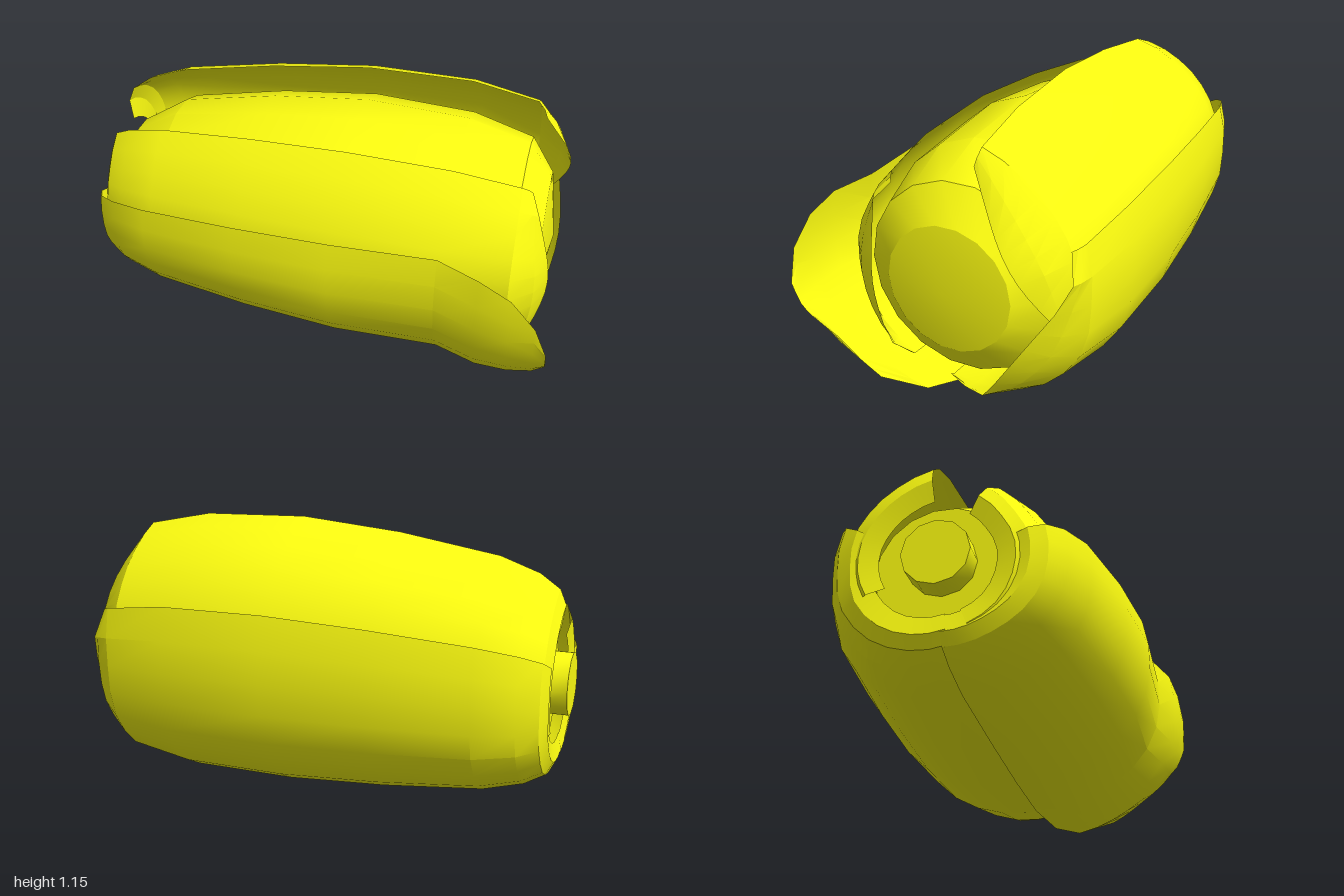
import * as THREE from 'three';
import { toCreasedNormals } from 'three/addons/utils/BufferGeometryUtils.js';

const { degToRad, lerp, clamp } = THREE.MathUtils;

// Long axis of the bud: parallel to x, drooping slightly down and back towards the stem
const axisY = (x) => 0.53 + 0.025 * Math.min(x, 0);
const axisZ = (x) => -0.04 + 0.03 * Math.min(x, 0);

// Leaf outline along its length: [x, radius scale, angular width]
const BODY = [[-0.95, 0.42, 1], [-0.965, 0.56, 1], [-0.94, 0.66, 1], [-0.86, 0.75, 1],
  [-0.7, 0.84, 1], [-0.29, 0.94, 1], [0.12, 1, 1], [0.55, 0.99, 1]];
const CLOSED_TIP = [[0.82, 0.905, 0.98]];
const FLARED_TIP = [[0.72, 1.08, 0.91], [0.85, 1.1, 0.78], [0.95, 1.1, 0.54], [1, 1.09, 0.24]];

// Linear lookup in a list, t from 0 to 1
function sample(list, t) {
  const f = t * (list.length - 1), i = Math.min(Math.floor(f), list.length - 2);
  return lerp(list[i], list[i + 1], f - i);
}

// A leaf is a curved sheet around the axis; radii run from its start angle to its end angle.
// A chord makes a closed tip, otherwise the tip flares. baseWidth widens or narrows the stem end.
function leafGeometry({ from, to, radii, baseWidth, chord, tipX, tipMid }) {
  const N = 10, mid = (from + to) / 2;
  const stations = BODY.concat(chord ? CLOSED_TIP : FLARED_TIP);
  const rows = stations.map(([x, s, w]) => {
    const centre = chord ? mid : lerp(tipMid, mid, w);
    const span = (to - from) * w * lerp(1, baseWidth, clamp((0.5 - x) / 1.4, 0, 1));
    return Array.from({ length: N + 1 }, (_, j) => {
      const t = j / N;
      return [x, sample(radii, t) * s, degToRad(centre + (t - 0.5) * span)];
    });
  });
  // Closed tips curl inwards until their end is cut off along a straight chord
  if (chord) {
    const last = rows[rows.length - 1];
    for (const k of [0.48, 1]) {
      rows.push(last.map(([x, r, a], j) => {
        const v = 2 * j / N - 1;
        const end = Math.min(r * 0.93, chord / Math.max(0.3, Math.cos(a - degToRad(mid))));
        const reach = 0.04 + (tipX - x - 0.04) * (1 - v * v);
        return [x + reach * (k < 1 ? 0.66 : 1), r + (end - r) * k, a];
      }));
    }
  }
  const pos = [], index = [];
  rows.forEach((row, i) => row.forEach(([x, r, a], j) => {
    pos.push(x, axisY(x) + r * Math.sin(a), axisZ(x) + r * Math.cos(a));
    if (i && j) {
      const d = i * (N + 1) + j, c = d - 1, b = d - N - 1, e = b - 1;
      index.push(e, c, d, e, d, b);
    }
  }));
  const geo = new THREE.BufferGeometry();
  geo.setAttribute('position', new THREE.Float32BufferAttribute(pos, 3));
  geo.setIndex(index);
  return toCreasedNormals(geo, 0.36);
}

// Solid of revolution along x
function turned(profile, segments) {
  const geo = new THREE.LatheGeometry(profile.map(([x, r]) => new THREE.Vector2(r, x)), segments);
  geo.rotateZ(-Math.PI / 2);
  return geo;
}

export function createModel() {
  const group = new THREE.Group();
  const material = new THREE.MeshStandardMaterial({ color: 0xffff10, side: THREE.DoubleSide });
  const add = (name, geo) => {
    const mesh = new THREE.Mesh(geo, material);
    mesh.name = name;
    group.add(mesh);
  };

  // Inner bud with a domed end, following the drooping axis
  const core = turned([[-0.9, 0], [-0.9, 0.26], [-0.7, 0.38], [-0.29, 0.45],
    [0.12, 0.487], [0.55, 0.465], [0.81, 0.395], [0.91, 0.26], [0.95, 0]], 18);
  const p = core.attributes.position;
  for (let i = 0; i < p.count; i++) {
    const x = p.getX(i);
    p.setXYZ(i, x, p.getY(i) + axisY(x), p.getZ(i) + axisZ(x));
  }
  add('core', toCreasedNormals(core, 0.4));

  // Short cut stem
  const stem = turned([[-1, 0], [-1, 0.13], [-0.89, 0.13]], 12);
  stem.translate(0, 0.53, -0.07);
  add('stem', toCreasedNormals(stem, 0.6));

  // Wrapping leaves; angles go from the front (+z) over the top
  add('innerFrontLeaf', leafGeometry({
    from: -62, to: 56, baseWidth: 1.08, chord: 0.3, tipX: 0.96,
    radii: [0.495, 0.505, 0.505, 0.51, 0.505, 0.53] }));
  add('topLeaf', leafGeometry({
    from: 100, to: 196, baseWidth: 1.1, chord: 0.345, tipX: 0.975,
    radii: [0.63, 0.6, 0.58, 0.565, 0.54, 0.51] }));
  add('backLeaf', leafGeometry({
    from: 151, to: 277, baseWidth: 1, chord: 0.355, tipX: 0.965,
    radii: [0.64, 0.595, 0.59, 0.56, 0.52, 0.485] }));
  add('outerFrontLeaf', leafGeometry({
    from: -90, to: 20, baseWidth: 0.95, tipMid: -17,
    radii: [0.495, 0.507, 0.525, 0.56, 0.59, 0.6, 0.61] }));

  return group;
}
